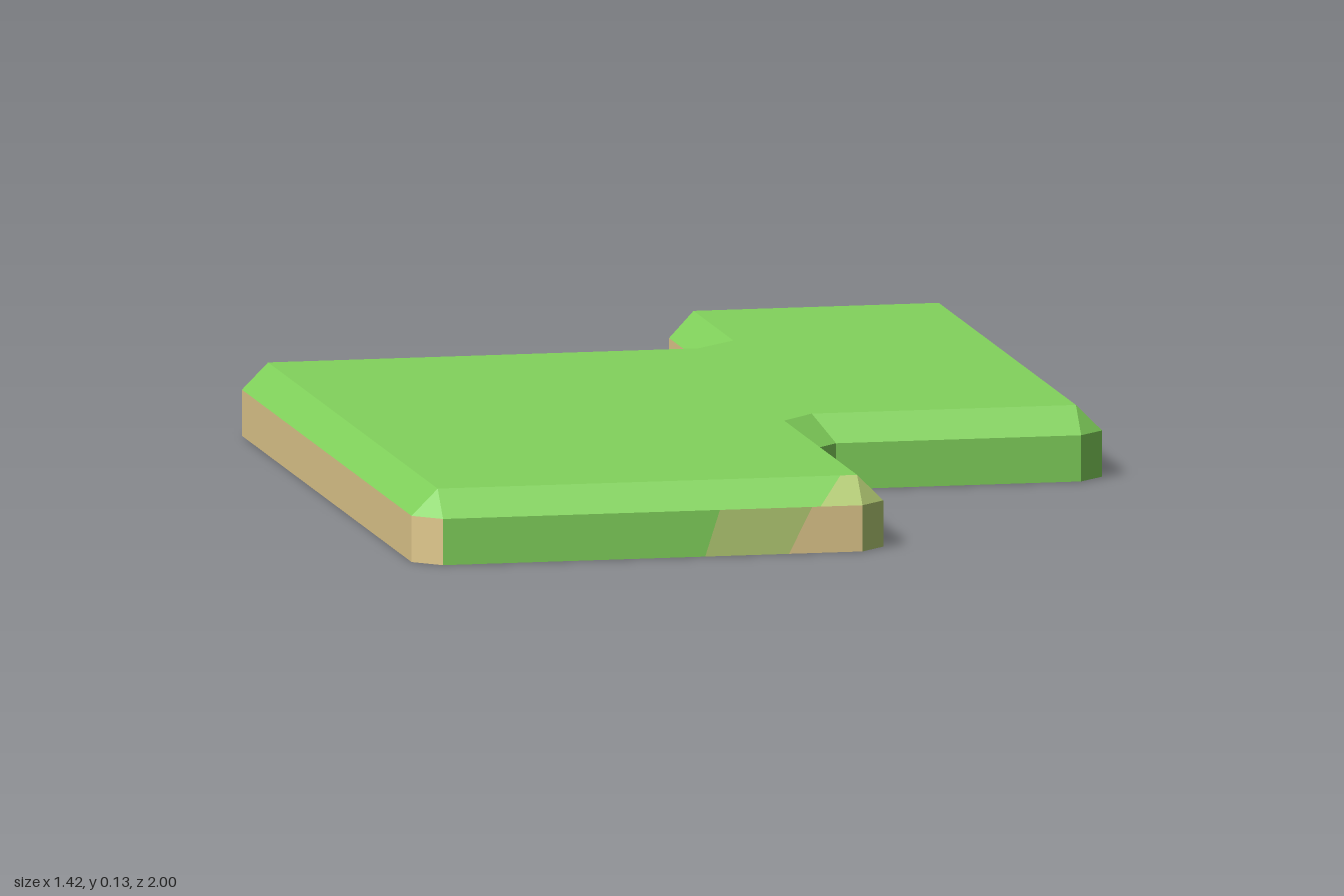
import * as THREE from 'three';

const WALL_TOP = 0.084, TOP = 0.132;

const mat = (name, color) => {
  const m = new THREE.MeshStandardMaterial({ color });
  m.name = name;
  return m;
};

// A flat four-cornered face
function quad(a, b, c, d) {
  const g = new THREE.BufferGeometry();
  g.setAttribute('position', new THREE.Float32BufferAttribute([a, b, c, a, c, d].flatMap(p => p.toArray()), 3));
  const n = new THREE.Vector3(), u = new THREE.Vector3(), v = new THREE.Vector3();
  n.crossVectors(u.subVectors(c, a), v.subVectors(d, b)).normalize();
  g.setAttribute('normal', new THREE.Float32BufferAttribute(Array(6).fill(n.toArray()).flat(), 3));
  return g;
}

export function createModel() {
  const root = new THREE.Group();
  root.name = 'grassTile';
  const grass = mat('grass green', 0x82d35c);
  const earth = mat('earth tan', 0xe0c88c);
  const blend = mat('grass and earth blend', 0xb4cc74);

  const add = (name, geometry, material) => {
    const mesh = new THREE.Mesh(geometry, material);
    mesh.name = name;
    root.add(mesh);
  };

  // A strip along an edge, cut into patches: [material, end along lower edge, end along upper edge]
  const strip = (name, lo0, lo1, hi0, hi1, patches) => {
    let s = 0, t = 0;
    for (const [material, s1, t1] of patches) {
      const lo = k => lo0.clone().lerp(lo1, k), hi = k => hi0.clone().lerp(hi1, k);
      add(name, quad(lo(s), hi(t), hi(t1), lo(s1)), material);
      s = s1;
      t = t1;
    }
  };
  const G = [[grass, 1, 1]], E = [[earth, 1, 1]], B = [[blend, 1, 1]];

  // Clockwise from above: outer x, z; inset top x, z; wall and bevel colours of the edge that follows
  const rim = [
    [-0.66, -0.58, -0.66, -0.53, E, G],
    [0.115, -0.58, 0.13, -0.53, E, G],
    [0.165, -0.625, 0.21, -0.605, E, G],
    [0.165, -0.953, 0.21, -0.953, E, E],
    [0.21, -1, 0.21, -0.953, E, G],
    [0.66, -1, 0.66, -0.953, E, G],
    [0.708, -0.953, 0.66, -0.953, [[grass, 0.945, 0.995], [blend, 1, 1]], G],
    [0.708, 0.247, 0.66, 0.247, G, G],
    [0.66, 0.293, 0.66, 0.247, G, G],
    [0.21, 0.293, 0.175, 0.247, G, G],
    [0.158, 0.347, 0.11, 0.315, [[grass, 0.75, 0.8], [blend, 1, 1]], [[grass, 0.87, 0.93], [blend, 1, 1]]],
    [0.158, 0.953, 0.11, 0.953, B, B],
    [0.11, 1, 0.11, 0.953, [[earth, 0.175, 0.12], [blend, 0.375, 0.34], [grass, 1, 1]], [[blend, 0.1, 0.04], [grass, 1, 1]]],
    [-0.66, 1, -0.66, 0.953, E, G],
    [-0.708, 0.953, -0.66, 0.953, E, G],
    [-0.708, -0.53, -0.66, -0.53, E, E],
  ];

  // Side walls and sloped bevels
  rim.forEach((p, i) => {
    const q = rim[(i + 1) % rim.length];
    const outer = (r, y) => new THREE.Vector3(r[0], y, r[1]);
    const inner = r => new THREE.Vector3(r[2], TOP, r[3]);
    strip('sideWall', outer(p, 0), outer(q, 0), outer(p, WALL_TOP), outer(q, WALL_TOP), p[4]);
    strip('topBevel', outer(p, WALL_TOP), outer(q, WALL_TOP), inner(p), inner(q), p[5]);
  });

  // Top surface, skipping the doubled points at outside corners
  const inset = rim.filter((p, i) => {
    const q = rim[(i + 1) % rim.length];
    return p[2] !== q[2] || p[3] !== q[3];
  });
  const topShape = new THREE.Shape(inset.map(p => new THREE.Vector2(p[2], -p[3])));
  add('topSurface', new THREE.ShapeGeometry(topShape).rotateX(-Math.PI / 2).translate(0, TOP, 0), grass);

  // Underside
  const baseShape = new THREE.Shape(rim.map(p => new THREE.Vector2(p[0], p[1])));
  add('underside', new THREE.ShapeGeometry(baseShape).rotateX(Math.PI / 2), earth);

  return root;
}
